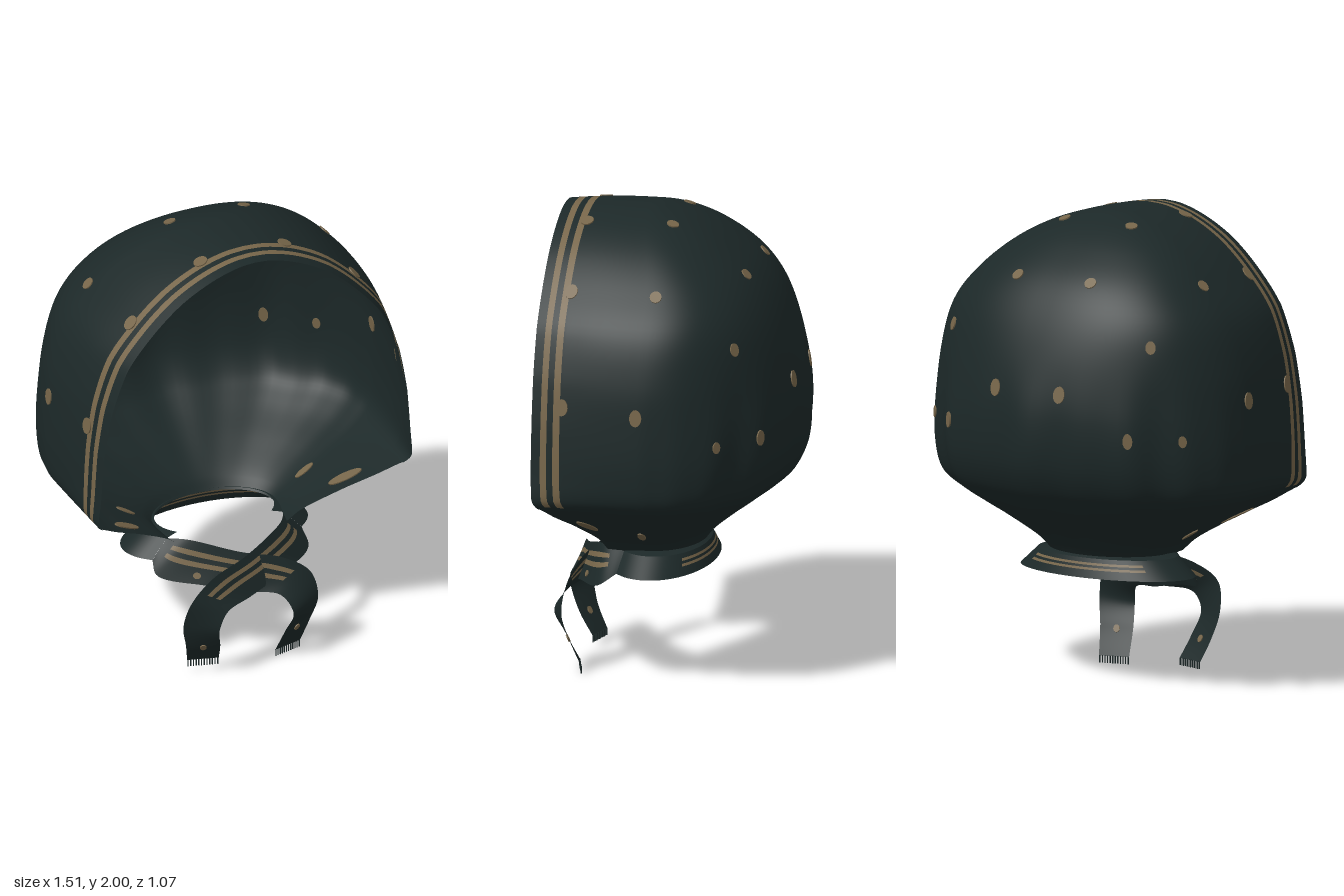
import * as THREE from 'three';

const cloth = new THREE.MeshStandardMaterial({ color: 0x1c2828, side: THREE.DoubleSide });
cloth.name = 'dark cloth';
const tan = new THREE.MeshStandardMaterial({ color: 0x766549, side: THREE.DoubleSide });
tan.name = 'tan print';

const V = (p) => new THREE.Vector3(...p);
const curve = (pts) => new THREE.CatmullRomCurve3(pts.map(V));
const clamp01 = (v) => Math.min(1, Math.max(0, v));
const steps = (a, b, n) => Array.from({ length: n + 1 }, (_, i) => a + (b - a) * i / n);
const { smoothstep, lerp } = THREE.MathUtils;

// Grid surface; cells for which isTan(mid u, mid v) holds get the tan material
function sheet(name, fn, us, vs, isTan) {
  const pos = [], dark = [], light = [], n = us.length;
  for (const v of vs) for (const u of us) pos.push(...fn(u, v).toArray());
  for (let j = 0; j < vs.length - 1; j++) {
    for (let i = 0; i < n - 1; i++) {
      const a = j * n + i;
      const tinted = isTan((us[i] + us[i + 1]) / 2, (vs[j] + vs[j + 1]) / 2);
      (tinted ? light : dark).push(a, a + 1, a + n, a + 1, a + n + 1, a + n);
    }
  }
  const geo = new THREE.BufferGeometry();
  geo.setAttribute('position', new THREE.Float32BufferAttribute(pos, 3));
  geo.setIndex([...dark, ...light]);
  geo.addGroup(0, dark.length, 0);
  geo.addGroup(dark.length, light.length, 1);
  geo.computeVertexNormals();
  const mesh = new THREE.Mesh(geo, [cloth, tan]);
  mesh.name = name;
  return mesh;
}

// Thin printed oval showing on both faces of a surface, stretched along v
function dot(fn, u, v, r, stretch) {
  const e = 0.004;
  const du = fn(u + e, v).sub(fn(u - e, v)), dv = fn(u, v + e).sub(fn(u, v - e)).normalize();
  const normal = dv.clone().cross(du).normalize();
  const mesh = new THREE.Mesh(new THREE.CylinderGeometry(r, r, 0.0096, 16), tan);
  mesh.quaternion.setFromRotationMatrix(new THREE.Matrix4().makeBasis(normal.clone().cross(dv), normal, dv));
  mesh.position.copy(fn(u, v));
  mesh.scale.z = stretch;
  mesh.name = 'printedDot';
  return mesh;
}

// Hood outline by height: half width, height, back z
const outer = curve([
  [0.27, 0.55, -0.09], [0.32, 0.6, -0.13], [0.48, 0.7, -0.25], [0.65, 0.8, -0.38], [0.735, 0.88, -0.46],
  [0.755, 1.0, -0.515], [0.75, 1.2, -0.53], [0.727, 1.4, -0.495], [0.662, 1.6, -0.425], [0.54, 1.75, -0.33],
  [0.4, 1.87, -0.19], [0.25, 1.95, -0.05], [0.1, 1.992, 0.08], [0, 2.0, 0.15]]);
// Matching face edge: half width, edge z, z where the back begins to curve
const inner = curve([
  [0.25, 0.28, 0.1], [0.3, 0.3, 0.1], [0.46, 0.37, 0.09], [0.64, 0.45, 0.07], [0.725, 0.505, 0.05],
  [0.715, 0.51, 0.05], [0.7, 0.51, 0.05], [0.665, 0.51, 0.05], [0.592, 0.51, 0.05], [0.475, 0.51, 0.05],
  [0.345, 0.51, 0.08], [0.205, 0.51, 0.12], [0.08, 0.51, 0.15], [0, 0.51, 0.17]]);

// c runs from one face edge (-1) round the back (0) to the other (1)
function hood(c, t) {
  const o = outer.getPoint(clamp01(t)), f = inner.getPoint(clamp01(t));
  const a = Math.min(1, Math.abs(c)), s = Math.sign(c);
  let x, z, y = o.y;
  if (a <= 0.5) {
    const th = a * Math.PI;
    const up = smoothstep(y, 0.55, 0.85) * (1 - smoothstep(y, 0.95, 1.5));
    const fold = 1 + up * (1 - (a * 2) ** 4) * (0.014 * Math.cos(11 * th) + 0.009 * Math.cos(19 * th));
    const power = 1 - 0.15 * smoothstep(y, 1.25, 1.75);
    x = o.x * Math.sin(th) ** power * fold;
    z = f.z - (f.z - o.z) * Math.max(0, Math.cos(th)) ** power * fold;
  } else {
    const d = (1 - a) * 0.92;
    z = d < 0.13 ? f.y - d : lerp(f.y - 0.13, f.z, (d - 0.13) / 0.33);
    const k = (z - f.z) / (f.y - f.z);
    x = o.x + (f.x - o.x) * k * k;
  }
  if (y > 1.5 && z > 0.2) y -= 0.015 * ((z - 0.2) / 0.31) ** 2 * (y - 1.5) * 2;
  return new THREE.Vector3(s * x, y, z);
}

function tAtHeight(c, y) {
  let lo = 0, hi = 1;
  for (let i = 0; i < 24; i++) {
    const m = (lo + hi) / 2;
    if (hood(c, m).y < y) lo = m; else hi = m;
  }
  return lo;
}

function buildHood() {
  const g = new THREE.Group();
  g.name = 'hood';
  const edge = [0.125, 0.095, 0.068, 0.04, 0].map((d) => 1 - d / 0.92);
  const half = [...steps(0, 0.5, 32), ...steps(0.5, 0.85, 6).slice(1), ...edge];
  const us = [...half.slice(1).reverse().map((u) => -u), ...half];
  const vs = steps(0, 1, 78);
  // Two border stripes, ending where the face edge turns in to the neck
  const isTan = (u, t) => {
    const d = (1 - Math.abs(u)) * 0.92;
    return t > 0.285 && ((d > 0.04 && d < 0.068) || (d > 0.095 && d < 0.125));
  };
  const shell = sheet('hoodCloth', hood, us, vs, isTan);
  // Smooth the ridge where both halves meet
  const nor = shell.geometry.attributes.normal, last = (vs.length - 1) * us.length;
  const sign = Math.sign(nor.getY(last - us.length + 20)) || 1;
  for (let i = 0; i < us.length; i++) nor.setXYZ(last + i, 0, sign, 0);
  g.add(shell);
  // Plain hem lining just inside the striped border
  for (const s of [-1, 1]) {
    const lining = (u, t) => {
      const p = hood(s * u, t);
      p.x -= s * Math.min(0.005, Math.abs(p.x));
      p.y -= 0.005;
      return p;
    };
    g.add(sheet('hemLining', lining, [0.85, ...edge], steps(0.27, 1, 57), () => false));
  }
  // Printed dots: [position round the hood, height, radius, stretch]
  const dots = [[0.07, 1.315, 0.026, 1.4], [0.095, 1.765, 0.026, 1], [0.25, 1.525, 0.022, 1.3],
    [0.205, 1.135, 0.021, 1.6], [0.316, 1.13, 0.018, 1.4], [0.478, 1.745, 0.025, 1.1], [0.505, 1.27, 0.026, 1.4],
    [0.26, 1.96, 0.026, 1], [0.51, 0.66, 0.017, 2.8], [0.92, 0.72, 0.026, 3],
    [0.856, 1.74, 0.028, 1.2], [0.856, 1.29, 0.028, 1.3], [0.856, 1.96, 0.028, 1.1]];
  for (const [a, y, r, k] of dots) {
    for (const s of [-1, 1]) g.add(dot(hood, s * a, tAtHeight(s * a, y), r, k));
  }
  return g;
}

// Ribbon between two edge curves, striped from v0 to v1
function ribbon(name, tops, bottoms, v0, v1) {
  const A = curve(tops), B = curve(bottoms);
  const fn = (u, v) => A.getPoint(clamp01(v)).lerp(B.getPoint(clamp01(v)), u);
  const isTan = (u, v) => v > v0 && v < v1 && ((u > 0.22 && u < 0.34) || (u > 0.46 && u < 0.58));
  return { fn, mesh: sheet(name, fn, [0, 0.11, 0.22, 0.34, 0.46, 0.58, 0.72, 0.86, 1], steps(0, 1, 60), isTan) };
}

// Band round the back of the neck: a flat fold at the hood, then a flared strip
function buildCollar() {
  const g = new THREE.Group();
  g.name = 'collar';
  const loop = (rx, y, rz) => steps(-2.18, 2.18, 20).map((a) => [rx * Math.sin(a), y, 0.09 - rz * Math.cos(a)]);
  g.add(ribbon('collarFold', loop(0.265, 0.562, 0.18), loop(0.33, 0.55, 0.2), 0, 0).mesh);
  g.add(ribbon('collarBand', loop(0.33, 0.55, 0.2), loop(0.42, 0.47, 0.23), 0.3, 0.7).mesh);
  return g;
}

// One tie: leaves the collar at side s, crosses the front and hangs on the other side
function buildTie(name, s, dz, endY) {
  const g = new THREE.Group();
  g.name = name;
  const place = ([x, y, z], i) => [s * x, y, z + (i > 0 && i < 5 ? dz : 0)];
  const tops = [[0.27, 0.55, 0.204], [0.2, 0.56, 0.3], [0, 0.505, 0.4], [-0.17, 0.465, 0.45],
    [-0.28, 0.39, 0.48], [-0.31, 0.27, 0.465], [-0.285, 0.15, 0.435], [-0.26, endY, 0.39]].map(place);
  const lows = [[0.344, 0.47, 0.222], [0.34, 0.415, 0.29], [0.16, 0.38, 0.4], [0, 0.345, 0.46],
    [-0.13, 0.325, 0.51], [-0.17, 0.25, 0.525], [-0.15, 0.15, 0.485], [-0.13, endY, 0.425]].map(place);
  const { fn, mesh } = ribbon(name + 'Cloth', tops, lows, 0.08, 0.52);
  g.add(mesh);
  for (const [u, v] of [[0.78, 0.24], [0.5, 0.87]]) g.add(dot(fn, u, v, 0.014, 1.2));
  // Frayed end threads
  for (const u of steps(0.03, 0.97, 11)) {
    const thread = new THREE.Mesh(new THREE.BoxGeometry(0.004, 0.032, 0.004), cloth);
    thread.position.copy(fn(u, 1));
    thread.position.y -= 0.014;
    thread.name = 'fringeThread';
    g.add(thread);
  }
  return g;
}

export function createModel() {
  const model = new THREE.Group();
  model.name = 'headscarf';
  model.add(buildHood(), buildCollar(), buildTie('frontTie', 1, 0.01, 0.055), buildTie('rearTie', -1, -0.03, 0.03));
  return model;
}
